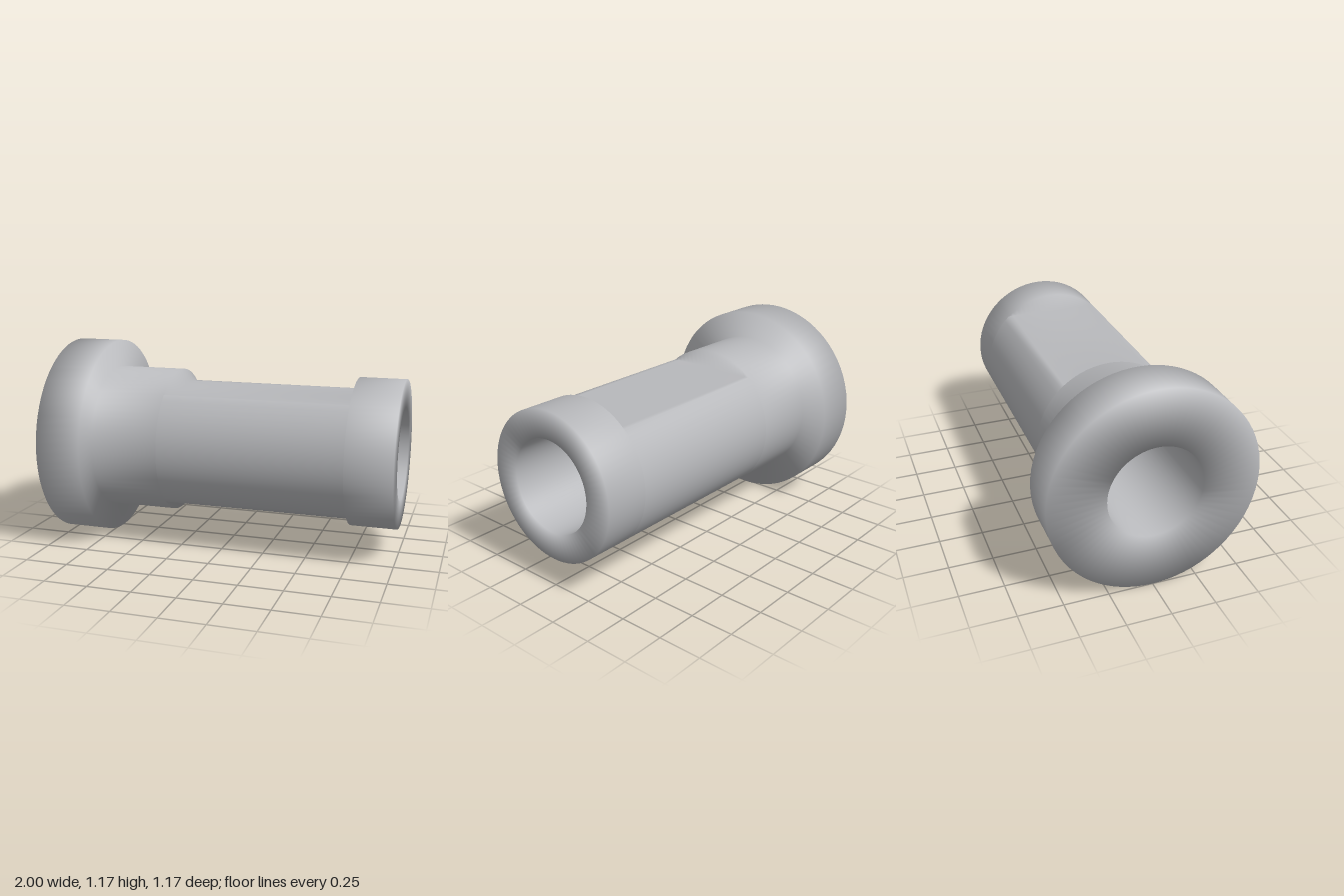
import * as THREE from 'three';

const FLAT = 0.317;   // half height across the two milled flats
const BODY = 0.425, BORE = 0.266, FLANGE = 0.585;

// Angles around the axis, with exact stops at the four corners of the flats
function ringAngles() {
  const c = Math.asin(FLAT / BODY);
  const stops = [-c, c, Math.PI - c, Math.PI + c, 2 * Math.PI - c];
  const angles = [];
  for (let s = 0; s < 4; s++) {
    for (let k = 0; k < 18; k++) {
      angles.push(THREE.MathUtils.lerp(stops[s], stops[s + 1], k / 18));
    }
  }
  return angles;
}

// Closed skin through rings of [x, radius, half height limit]
function skin(rings) {
  const angles = ringAngles(), n = angles.length, m = rings.length;
  const positions = [], index = [];
  for (const [x, r, limit = 9] of rings) {
    for (const a of angles) {
      positions.push(x, THREE.MathUtils.clamp(r * Math.sin(a), -limit, limit), r * Math.cos(a));
    }
  }
  for (let i = 0; i < m; i++) {
    for (let j = 0; j < n; j++) {
      const i2 = (i + 1) % m, j2 = (j + 1) % n;
      const a = i * n + j, b = i * n + j2, c = i2 * n + j2, d = i2 * n + j;
      index.push(a, b, d, b, c, d);
    }
  }
  const geometry = new THREE.BufferGeometry();
  geometry.setAttribute('position', new THREE.Float32BufferAttribute(positions, 3));
  geometry.setIndex(index);
  geometry.computeVertexNormals();
  return geometry;
}

export function createModel() {
  const group = new THREE.Group();
  group.name = 'flangedBushing';
  const steel = new THREE.MeshStandardMaterial({ color: 0xb8b9bc });
  steel.name = 'steel grey';

  // Outside from the open end to the flange, then back through the bore
  const bushing = new THREE.Mesh(skin([
    [1, BORE],
    [1, BODY],
    [0.735, BODY],
    [0.735, BODY, FLAT],    // flats on top and bottom
    [-0.335, BODY, FLAT],
    [-0.335, BODY],
    [-0.735, BODY],
    [-0.735, FLANGE],       // flange
    [-1, FLANGE],
    [-1, BORE],
  ]), steel);
  bushing.name = 'bushingBody';
  bushing.position.y = FLANGE;
  group.add(bushing);
  return group;
}
